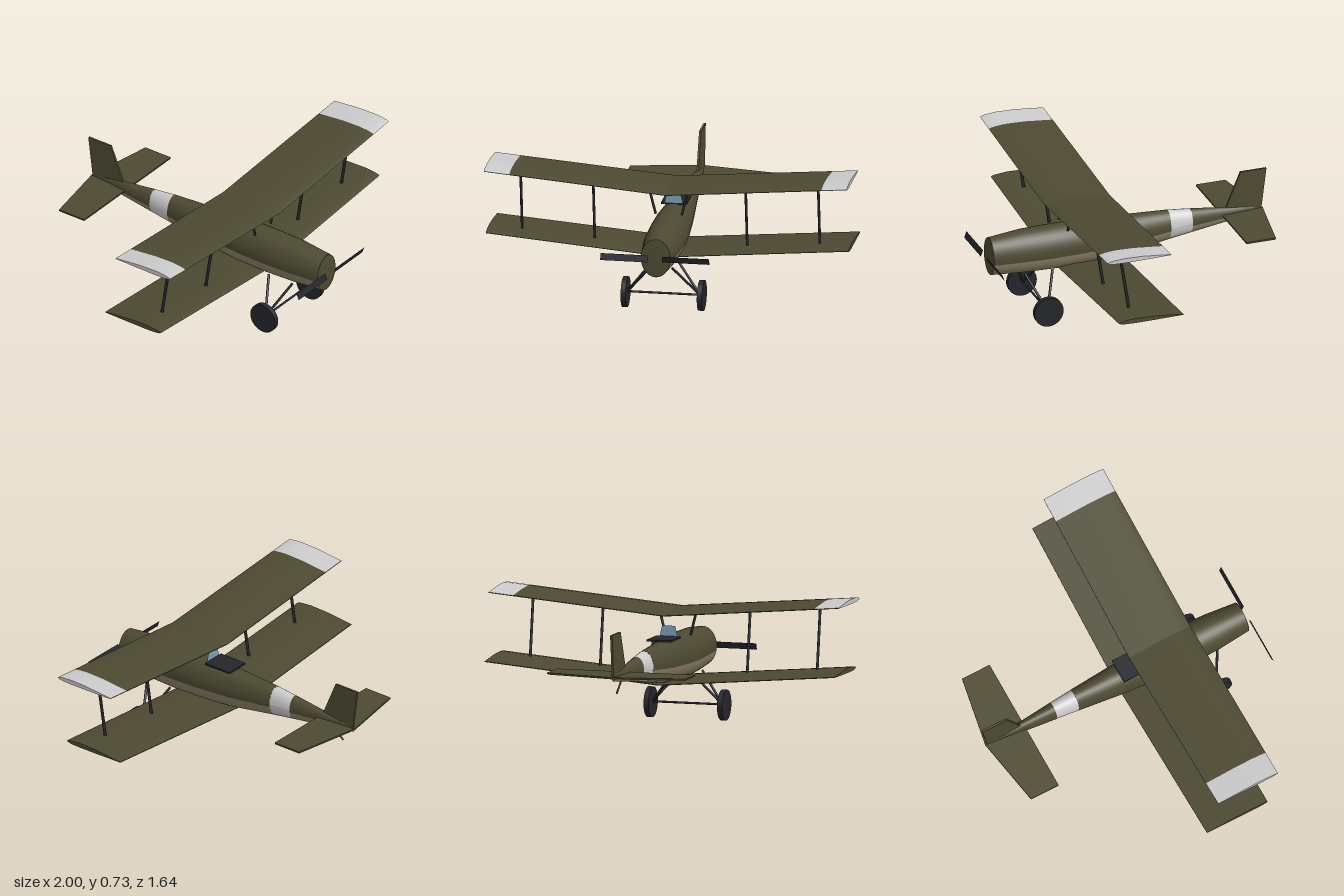
import * as THREE from 'three';

const mat = (color) => new THREE.MeshStandardMaterial({ color, side: THREE.DoubleSide });
const olive = mat(0x4d4a32), tan = mat(0x8f8468), white = mat(0xcccccc);
const dark = mat(0x24262b), glass = mat(0x7a9fb8);
const V = (x, y, z) => new THREE.Vector3(x, y, z);

export function createModel() {
  const plane = new THREE.Group();
  plane.name = 'biplane';

  const add = (name, geometry, material) => {
    const mesh = new THREE.Mesh(geometry, material);
    mesh.name = name;
    plane.add(mesh);
    return mesh;
  };

  // Smooth surface through rows of points of equal length
  const sheet = (rows) => {
    const n = rows[0].length, index = [];
    for (let i = 0; i < rows.length - 1; i++) {
      for (let j = 0; j < n - 1; j++) {
        const a = i * n + j, b = a + n;
        index.push(a, a + 1, b, b, a + 1, b + 1);
      }
    }
    const g = new THREE.BufferGeometry().setFromPoints(rows.flat());
    g.setIndex(index);
    g.computeVertexNormals();
    return g;
  };

  // Round bar between two points, optionally flattened in x
  const bar = (name, a, b, radius, flat = 1) => {
    const g = new THREE.CylinderGeometry(radius, radius, a.distanceTo(b), 10);
    g.scale(flat, 1, 1);
    const m = add(name, g, dark);
    m.position.copy(a).add(b).multiplyScalar(0.5);
    m.quaternion.setFromUnitVectors(V(0, 1, 0), b.clone().sub(a).normalize());
  };

  // Fuselage: elliptical stations [z, half width, bottom, top]
  const stations = [
    [0.785, 0.082, 0.26, 0.475], [0.6, 0.1, 0.249, 0.494], [0.42, 0.104, 0.243, 0.498],
    [0.25, 0.1, 0.245, 0.498], [0.02, 0.082, 0.262, 0.487], [-0.25, 0.057, 0.305, 0.475],
    [-0.38, 0.045, 0.324, 0.462], [-0.6, 0.024, 0.355, 0.437], [-0.79, 0.004, 0.381, 0.415],
  ];
  const seam = -0.22, steps = 20;
  const ring = ([z, rx, lo, hi], from, to, k = 1) => Array.from({ length: steps + 1 }, (_, i) => {
    const a = from + (to - from) * i / steps;
    return V(k * rx * Math.cos(a), (lo + hi) / 2 + k * (hi - lo) / 2 * Math.sin(a), z);
  });
  const shell = (name, list, from, to, material) =>
    add(name, sheet(list.map((s) => ring(s, from, to))), material);
  for (const [name, list] of [['front', stations.slice(0, 6)], ['rear', stations.slice(6)]]) {
    shell(name + 'FuselageTop', list, seam, Math.PI - seam, olive);
    shell(name + 'FuselageBelly', list, Math.PI - seam, Math.PI * 2 + seam, tan);
  }
  shell('fuselageBand', stations.slice(5, 7), 0, Math.PI * 2, white);
  // Nose and tail caps
  for (const [name, s, dz] of [['nose', stations[0], 0.004], ['tailEnd', stations[8], 0]]) {
    const tip = [s[0] + dz, ...s.slice(1)];
    add(name, sheet([ring(s, 0, Math.PI * 2), ring(tip, 0, Math.PI * 2, 0.7),
      ring(tip, 0, Math.PI * 2, 0.001)]), olive);
  }

  // Wings: airfoil curves [chord fraction, height]
  const upperCurve = [[0, 0.012], [0.03, 0.017], [0.1, 0.022], [0.25, 0.027], [0.55, 0.024], [1, 0.008]];
  const lowerCurve = [[0, 0.012], [0.03, 0.006], [0.1, 0.002], [0.25, 0], [0.55, 0.001], [1, 0.004]];
  const wing = (name, baseY, front, back, tipMaterial) => {
    const section = (curve, x) => curve.map(([t, h]) => {
      const rear = back - 0.012 * (1 - Math.abs(x));
      return V(x, baseY + 0.085 * Math.abs(x) + h, front + (rear - front) * t);
    });
    for (const s of [1, -1]) {
      const side = s > 0 ? 'Left' : 'Right';
      const panel = (part, curve, a, b, m) =>
        add(name + side + part, sheet([section(curve, s * a), section(curve, s * b)]), m);
      panel('Top', upperCurve, 0, 0.86, olive);
      panel('Underside', lowerCurve, 0, 0.86, tan);
      panel('TipTop', upperCurve, 0.86, 1, tipMaterial || olive);
      panel('TipUnderside', lowerCurve, 0.86, 1, tipMaterial || tan);
      add(name + side + 'TipCap', sheet([section(upperCurve, s), section(lowerCurve, s)]), tipMaterial || olive);
      // Trailing edge
      const edge = (c) => [0, 1].map((x) => section(c, s * x)[c.length - 1]);
      add(name + side + 'TrailingEdge', sheet([edge(upperCurve), edge(lowerCurve)]), olive);
    }
  };
  wing('upperWing', 0.615, 0.468, 0.1, white);
  wing('lowerWing', 0.245, 0.405, 0.03, null);

  // Tailplane: olive on top, tan below
  const outline = new THREE.Shape([[-0.395, 0.56], [0.395, 0.56], [0.395, 0.73], [0, 0.8], [-0.395, 0.73]]
    .map(([x, y]) => new THREE.Vector2(x, y)));
  const tailplane = add('tailplane',
    new THREE.ExtrudeGeometry(outline, { depth: 0.008, bevelEnabled: false }).rotateX(-Math.PI / 2), olive);
  tailplane.position.y = 0.396;
  const under = add('tailplaneUnderside', new THREE.ShapeGeometry(outline).rotateX(-Math.PI / 2), tan);
  under.position.y = 0.394;

  // Fin, drawn in the z-y plane
  const finShape = new THREE.Shape([[0.585, 0.435], [0.67, 0.637], [0.82, 0.637], [0.79, 0.4]]
    .map(([x, y]) => new THREE.Vector2(x, y)));
  const fin = add('fin',
    new THREE.ExtrudeGeometry(finShape, { depth: 0.012, bevelEnabled: false }).rotateY(Math.PI / 2), olive);
  fin.position.x = -0.006;
  bar('tailSkid', V(0, 0.372, -0.635), V(0, 0.307, -0.72), 0.005);

  // Cockpit deck and windscreen
  add('cockpit', new THREE.BoxGeometry(0.14, 0.01, 0.17), dark).position.set(0, 0.494, 0.105);
  const screen = new THREE.Shape([[-0.052, 0.495], [0.052, 0.495], [0.037, 0.556], [-0.037, 0.556]]
    .map(([x, y]) => new THREE.Vector2(x, y)));
  add('windscreen', new THREE.ShapeGeometry(screen), glass).position.z = 0.19;

  // Mirrored struts, wheels and propeller blades
  for (const s of [1, -1]) {
    for (const x of [0.42, 0.82]) {
      bar('interplaneStrut', V(s * x, 0.268 + 0.085 * x, 0.28), V(s * x, 0.62 + 0.085 * x, 0.335), 0.009, 0.8);
    }
    bar('cabaneStrut', V(s * 0.072, 0.485, 0.355), V(s * 0.108, 0.628, 0.355), 0.007);
    for (const z of [0.6, 0.44]) {
      bar('gearStrut', V(s * 0.06, 0.258, z), V(s * 0.2, 0.088, 0.52), 0.007);
    }
    const wheel = add('wheel', new THREE.CylinderGeometry(0.084, 0.084, 0.028, 32).rotateZ(Math.PI / 2), dark);
    wheel.position.set(s * 0.21, 0.085, 0.52);

    const blade = add('propellerBlade', new THREE.PlaneGeometry(0.26, 0.038), dark);
    blade.position.set(s * 0.17, 0.371, 0.812);
    blade.rotation.x = s * 0.35;
  }
  bar('axle', V(-0.2, 0.088, 0.52), V(0.2, 0.088, 0.52), 0.006);

  return plane;
}
